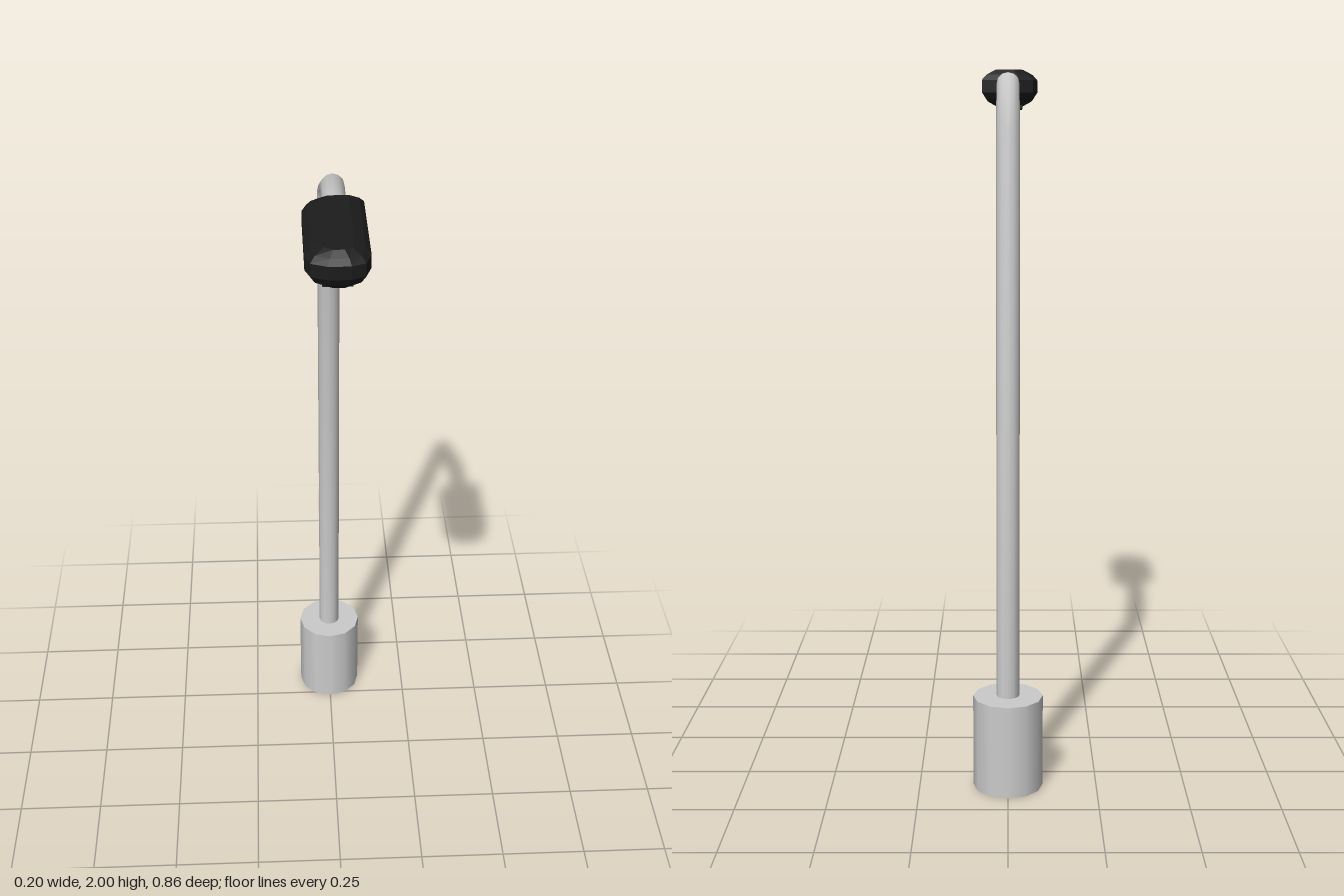
import * as THREE from 'three';

// Skin a list of closed rings (arrays of Vector3, counter-clockwise seen from the end) and cap both ends.
function loft(rings) {
  const n = rings[0].length, pos = [], idx = [];
  const average = ring => ring.reduce((s, p) => s.add(p), new THREE.Vector3()).divideScalar(n);
  rings.forEach(ring => ring.forEach(p => pos.push(p.x, p.y, p.z)));
  for (let i = 0; i < rings.length - 1; i++) {
    for (let j = 0; j < n; j++) {
      const a = i * n + j, b = i * n + (j + 1) % n;
      idx.push(a, b, b + n, a, b + n, a + n);
    }
  }
  [[rings[0], true], [rings[rings.length - 1], false]].forEach(([ring, start]) => {
    const base = pos.length / 3;
    [...ring, average(ring)].forEach(p => pos.push(p.x, p.y, p.z));
    for (let j = 0; j < n; j++) {
      const a = base + j, b = base + (j + 1) % n;
      if (start) idx.push(b, a, base + n);
      else idx.push(a, b, base + n);
    }
  });
  const geo = new THREE.BufferGeometry();
  geo.setAttribute('position', new THREE.Float32BufferAttribute(pos, 3));
  geo.setIndex(idx);
  geo.computeVertexNormals();
  return geo;
}

export function createModel() {
  const group = new THREE.Group();
  const grey = new THREE.MeshStandardMaterial({ color: 0xcccccc });
  const black = new THREE.MeshStandardMaterial({ color: 0x1c1c1c, flatShading: true });
  const add = (name, geo, mat) => {
    const mesh = new THREE.Mesh(geo, mat);
    mesh.name = name;
    group.add(mesh);
    return mesh;
  };

  // Foot
  add('base', new THREE.CylinderGeometry(0.098, 0.098, 0.265, 12), grey).position.set(0, 0.1325, -0.332);

  // Pole and bent arm: centre (z, y) and half-thickness vector (z, y) of each mitred ring
  const sections = [
    [-0.33, 0.25, 0.031, 0],
    [-0.33, 1.822, 0.026, -0.023],
    [-0.064, 1.956, 0.008, -0.03],
    [0.11, 1.956, 0, -0.03],
  ];
  const poleRings = sections.map(([z, y, hz, hy]) => Array.from({ length: 12 }, (_, k) => {
    const t = k / 12 * Math.PI * 2;
    return new THREE.Vector3(0.032 * Math.sin(t), y + hy * Math.cos(t), z + hz * Math.cos(t));
  }));
  add('pole', loft(poleRings), grey);

  // Lamp head: plan outline (x, z) with one square rear corner, stacked in bevelled layers
  const outline = [
    [-0.03, 0.068], [-0.072, 0.083], [-0.085, 0.12], [-0.085, 0.375], [-0.072, 0.412], [-0.03, 0.43],
    [0.025, 0.43], [0.06, 0.415], [0.075, 0.37], [0.075, 0.12], [0.075, 0.068], [0.03, 0.068],
  ];
  // Height, inset in x and inset in z
  const layers = [
    [1.9, 0.04, 0.028], [1.915, 0.013, 0.012], [1.935, 0, 0],
    [1.97, 0, 0], [1.985, 0.013, 0.012], [2.0, 0.04, 0.028],
  ];
  const cx = -0.005, cz = 0.249;
  const headRings = layers.map(([y, ix, iz]) => outline.map(([x, z]) => new THREE.Vector3(
    cx + (x - cx) * (1 - ix / 0.08), y, cz + (z - cz) * (1 - iz / 0.181))));
  add('lampHead', loft(headRings), black);

  // Lens plate under the head
  add('lens', new THREE.BoxGeometry(0.075, 0.025, 0.255), black).position.set(cx, 1.9025, cz);

  return group;
}
